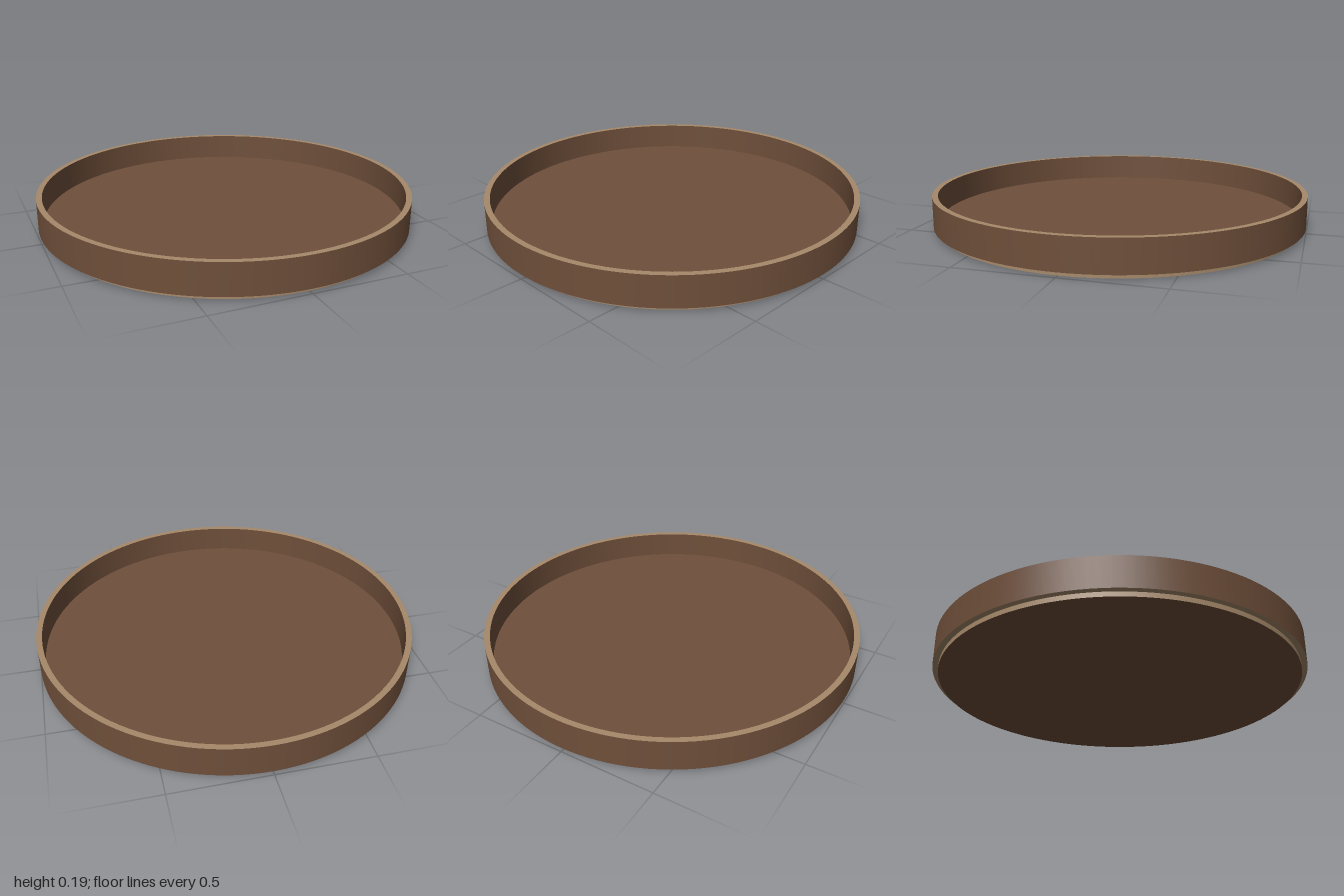
import * as THREE from 'three';

const SEGMENTS = 128;
const OUTER = 1, INNER = 0.97;
const WALL_BOTTOM = 0.025, TOP = 0.19, FLOOR = 0.045;

export function createModel() {
  const brown = new THREE.MeshStandardMaterial({ name: 'brown face', color: 0x6f4f3a });
  const tan = new THREE.MeshStandardMaterial({ name: 'tan edge', color: 0xa6896a });

  const group = new THREE.Group();
  group.name = 'roundTray';
  const add = (name, geometry, material, y = 0) => {
    const mesh = new THREE.Mesh(geometry, material);
    mesh.name = name;
    mesh.position.y = y;
    group.add(mesh);
  };

  // Revolved surface between two [radius, height] points
  const band = (from, to) => new THREE.LatheGeometry(
    [from, to].map(([r, y]) => new THREE.Vector2(r, y)), SEGMENTS);

  // Base disc: brown faces with a tan edge
  const height = FLOOR;
  add('baseDisc', new THREE.CylinderGeometry(INNER, INNER, height, SEGMENTS),
    [tan, brown, brown], height / 2);

  // Upright wall: brown sides with tan cut edges
  add('wallOutside', band([OUTER, WALL_BOTTOM], [OUTER, TOP]), brown);
  add('wallInside', band([INNER, TOP], [INNER, FLOOR]), brown);
  add('wallTopEdge', band([OUTER, TOP], [INNER, TOP]), tan);
  add('wallBottomEdge', band([INNER, WALL_BOTTOM], [OUTER, WALL_BOTTOM]), tan);

  return group;
}
